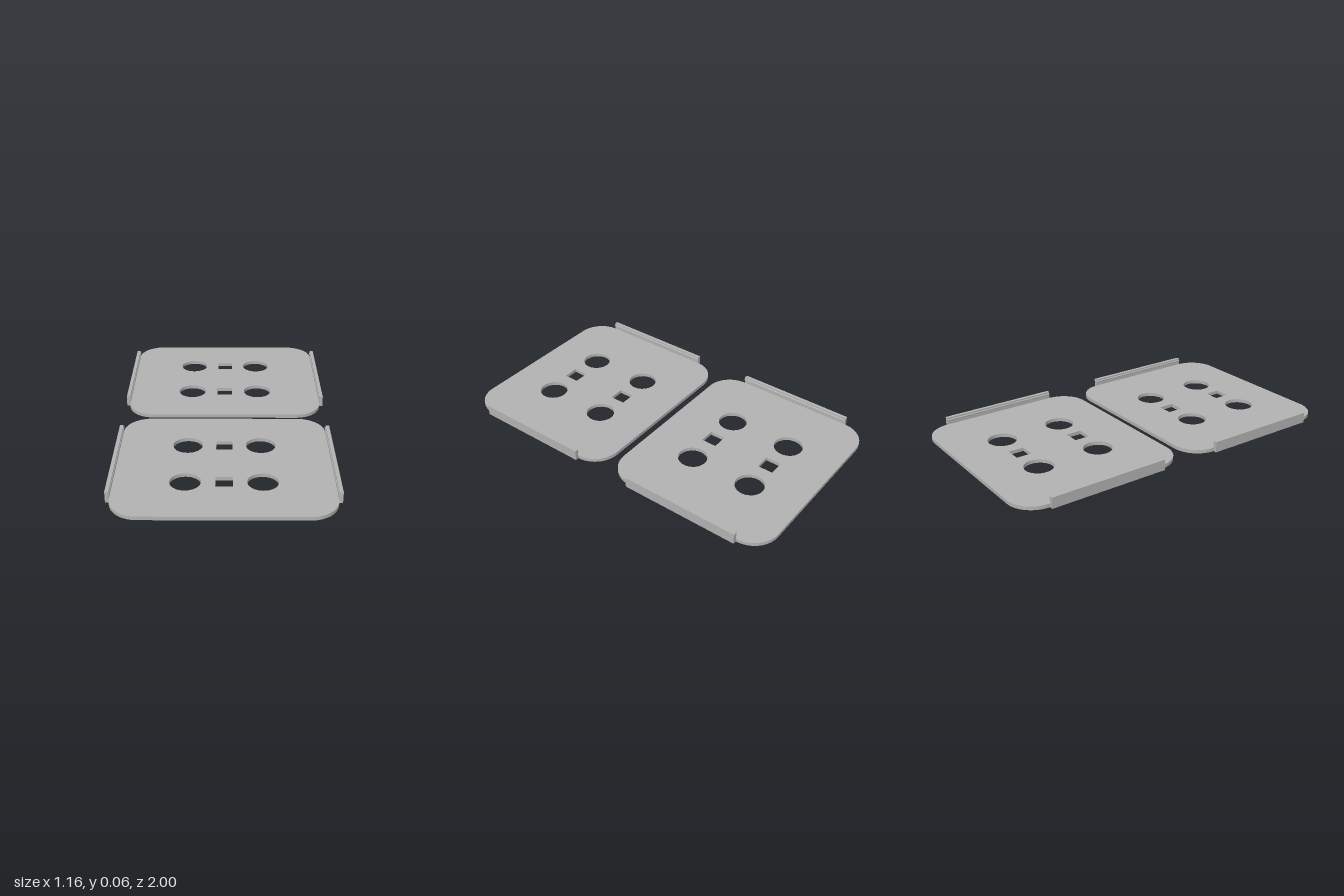
import * as THREE from 'three';

const PLATE = { halfX: 0.56, halfZ: 0.4875, radius: 0.15, thickness: 0.02 };
const CENTRE_Z = 0.5125;

// Rounded plate outline with round and square holes
function plateGeometry() {
  const { halfX: w, halfZ: h, radius: r, thickness } = PLATE;
  const shape = new THREE.Shape();
  shape.absarc(w - r, h - r, r, 0, Math.PI / 2);
  shape.absarc(-w + r, h - r, r, Math.PI / 2, Math.PI);
  shape.absarc(-w + r, -h + r, r, Math.PI, Math.PI * 1.5);
  shape.absarc(w - r, -h + r, r, Math.PI * 1.5, Math.PI * 2);
  shape.closePath();

  for (const z of [-0.183, 0.183]) {
    for (const x of [-0.196, 0.196]) {
      shape.holes.push(new THREE.Path().absarc(x, z, 0.08, 0, Math.PI * 2, true));
    }
    const s = 0.044;
    shape.holes.push(new THREE.Path([
      [-s, -s], [-s, s], [s, s], [s, -s],
    ].map(([x, y]) => new THREE.Vector2(x, z + y))));
  }
  return new THREE.ExtrudeGeometry(shape, { depth: thickness, bevelEnabled: false, curveSegments: 16 })
    .rotateX(-Math.PI / 2);
}

// Upright clip rail with a small inward snap bead, for the +x side
function railGeometry() {
  const length = 0.675;
  const profile = new THREE.Shape([
    [0.56, 0], [0.58, 0], [0.58, 0.06], [0.56, 0.06],
    [0.56, 0.051], [0.556, 0.048], [0.556, 0.043], [0.56, 0.04],
  ].map(([x, y]) => new THREE.Vector2(x, y)));
  return new THREE.ExtrudeGeometry(profile, { depth: length, bevelEnabled: false })
    .translate(0, 0, -length / 2);
}

export function createModel() {
  const model = new THREE.Group();
  model.name = 'clipPlates';
  const grey = new THREE.MeshStandardMaterial({ color: 0xb2b2b2 });
  grey.name = 'grey';

  const plateGeo = plateGeometry();
  const railGeo = railGeometry();

  // Two identical plates, one behind the other
  for (const [name, side] of [['front', 1], ['back', -1]]) {
    const unit = new THREE.Group();
    unit.name = `${name}Unit`;
    unit.position.z = side * CENTRE_Z;

    const plate = new THREE.Mesh(plateGeo, grey);
    plate.name = `${name}Plate`;
    unit.add(plate);

    // Right rail is the left one turned half round
    for (const [label, turn] of [['Left', 0], ['Right', Math.PI]]) {
      const rail = new THREE.Mesh(railGeo, grey);
      rail.name = `${name}${label}Rail`;
      rail.rotation.y = turn;
      unit.add(rail);
    }
    model.add(unit);
  }
  return model;
}
